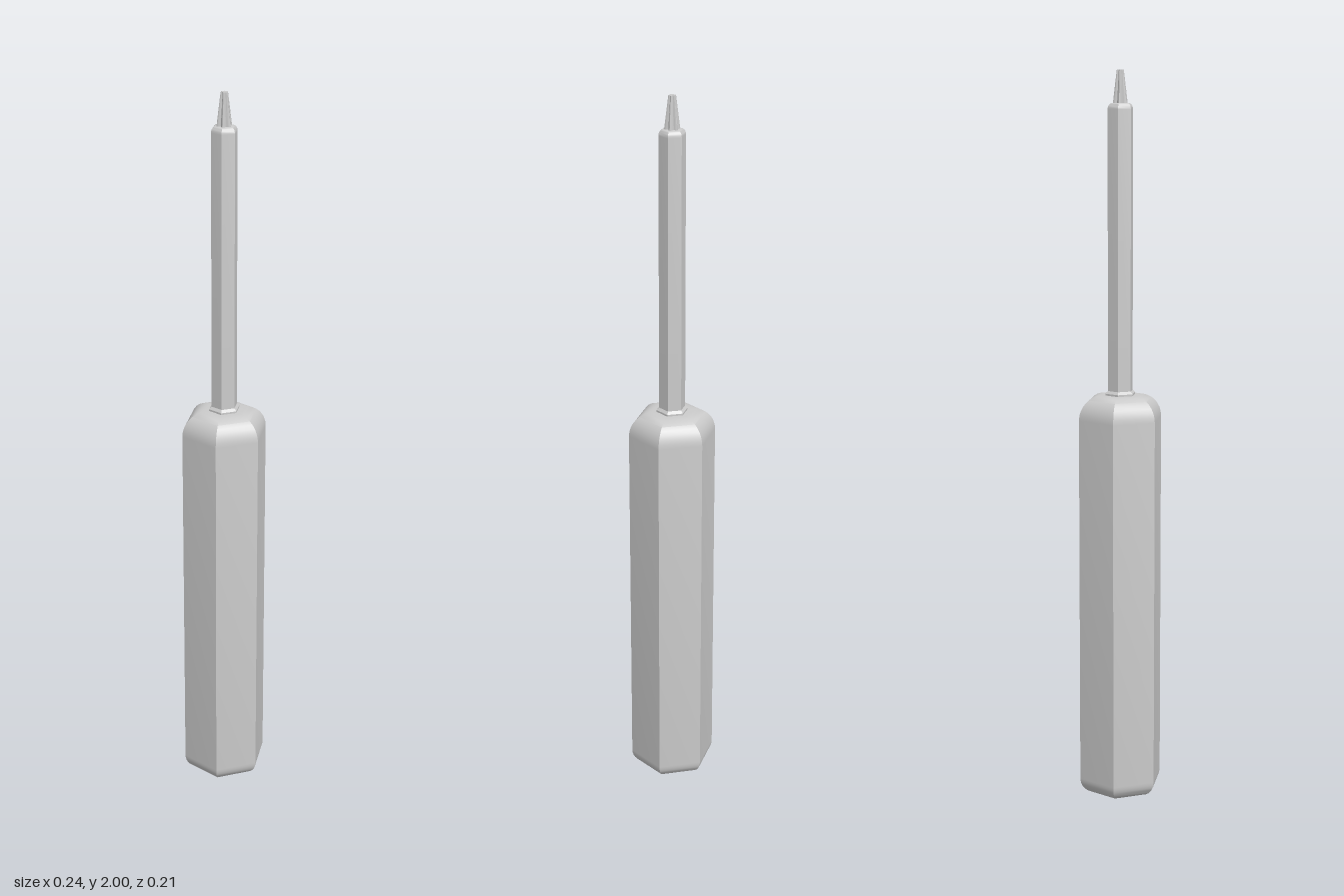
import * as THREE from 'three';
import { toCreasedNormals } from 'three/addons/utils/BufferGeometryUtils.js';

const material = new THREE.MeshStandardMaterial({ color: 0xcccccc });

function part(name, geometry, crease = 0.6) {
  const mesh = new THREE.Mesh(toCreasedNormals(geometry, crease), material);
  mesh.name = name;
  return mesh;
}

// Six-sided solid from a bottom-to-top profile of [radius, y], corners on the x axis
function hexLathe(profile) {
  const points = profile.map(([r, y]) => new THREE.Vector2(r, y));
  return new THREE.LatheGeometry(points, 6, Math.PI / 2);
}

// Quarter-ellipse rounding between angles a0 and a1
function arc(cx, cy, rx, ry, a0, a1, steps = 8) {
  return Array.from({ length: steps + 1 }, (_, i) => {
    const a = a0 + (a1 - a0) * i / steps;
    return [cx + rx * Math.cos(a), cy + ry * Math.sin(a)];
  });
}

// Six-lobed bit, narrowing towards its end
function bitGeometry(y0, y1, r0, r1) {
  const shape = new THREE.Shape();
  const count = 48;
  for (let i = 0; i < count; i++) {
    const a = i / count * Math.PI * 2;
    const r = 0.82 + 0.18 * Math.cos(6 * a);
    shape[i ? 'lineTo' : 'moveTo'](r * Math.cos(a), r * Math.sin(a));
  }
  const geometry = new THREE.ExtrudeGeometry(shape, { depth: y1 - y0, steps: 2, bevelEnabled: false });
  geometry.rotateX(-Math.PI / 2);
  const p = geometry.attributes.position;
  for (let i = 0; i < p.count; i++) {
    const r = r0 + (r1 - r0) * p.getY(i) / (y1 - y0);
    p.setXYZ(i, p.getX(i) * r, p.getY(i) + y0, p.getZ(i) * r);
  }
  return geometry;
}

export function createModel() {
  const group = new THREE.Group();
  group.name = 'screwdriver';

  // Grip with rounded ends
  group.add(part('handle', hexLathe([
    [0, 0],
    ...arc(0.075, 0.045, 0.045, 0.045, -Math.PI / 2, 0),
    ...arc(0.055, 1.065, 0.065, 0.065, 0, Math.PI / 2),
    [0, 1.13],
  ])));

  // Small step where the shaft enters the grip
  group.add(part('collar', hexLathe([[0.043, 1.12], [0.043, 1.135], [0.036, 1.142]])));

  // Shaft with a rounded shoulder
  group.add(part('shaft', hexLathe([
    [0.036, 1.12],
    ...arc(0.024, 1.897, 0.012, 0.016, 0, Math.PI / 2, 5),
    [0, 1.913],
  ])));

  group.add(part('bit', bitGeometry(1.905, 2, 0.022, 0.01)));
  return group;
}
